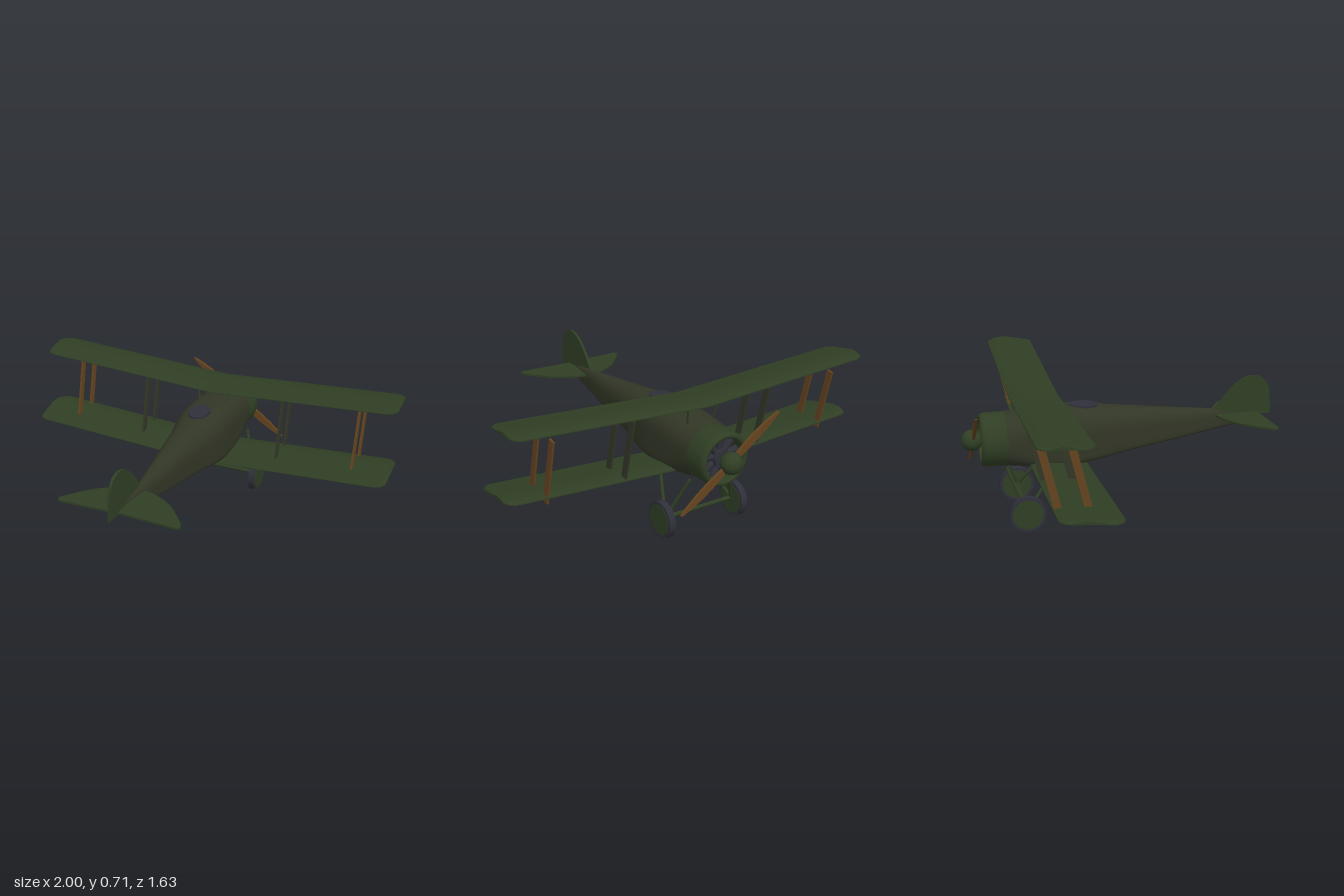
import * as THREE from 'three';
import { toCreasedNormals } from 'three/addons/utils/BufferGeometryUtils.js';

const paint = (name, color) => Object.assign(new THREE.MeshStandardMaterial({ color }), { name });
const V = (x, y, z) => new THREE.Vector3(x, y, z);

// Capped skin through a list of closed rings
function loft(rings, crease) {
  const n = rings[0].length, pos = [], idx = [];
  rings.forEach(r => r.forEach(p => pos.push(p.x, p.y, p.z)));
  for (let i = 0; i < rings.length - 1; i++)
    for (let j = 0; j < n; j++) {
      const a = i * n + j, b = i * n + (j + 1) % n;
      idx.push(a, b, a + n, b, b + n, a + n);
    }
  for (const end of [0, rings.length - 1]) {
    const c = rings[end].reduce((s, p) => s.add(p), V(0, 0, 0)).divideScalar(n);
    const k = pos.length / 3;
    pos.push(c.x, c.y, c.z);
    for (let j = 0; j < n; j++) {
      const a = end * n + j, b = end * n + (j + 1) % n;
      if (end) idx.push(k, a, b); else idx.push(k, b, a);
    }
  }
  const g = new THREE.BufferGeometry();
  g.setAttribute('position', new THREE.Float32BufferAttribute(pos, 3));
  g.setIndex(idx);
  return toCreasedNormals(g, crease);
}

// Wing with dihedral, cambered section and rounded tips
function wingGeometry(zFront, zRear, yRear, incidence) {
  const section = [[0, .007], [.08, .015], [.28, .02], [.6, .014], [1, .003],
    [1, 0], [.6, .003], [.28, .004], [.08, .001], [0, .002]];
  const r = 0.06, half = [0, 0.5, 0.94];
  for (let i = 1; i <= 6; i++) half.push(0.94 + r * Math.sin(i / 6 * Math.PI / 2));
  const xs = [...half.slice(1).reverse().map(x => -x), ...half];
  return loft(xs.map(x => {
    const d = Math.max(0, Math.abs(x) - 0.94);
    const inset = r - Math.sqrt(Math.max(0, r * r - d * d));
    return section.map(([u, h]) => V(x,
      yRear + incidence * (1 - u) + h + 0.058 * Math.abs(x),
      THREE.MathUtils.lerp(zFront + inset, zRear - inset, u)));
  }), 0.7);
}

function fuselageGeometry() {
  // z, half width, bottom, top, bottom squareness, top squareness
  const stations = [
    [-.597, .134, .29, .559, 2.2, 2.2], [-.5, .136, .29, .567, 4, 2.4], [-.4, .136, .29, .574, 8, 2.6],
    [-.27, .136, .292, .579, 9, 2.6], [-.2, .133, .299, .575, 9, 2.6], [-.11, .116, .31, .566, 9, 2.5],
    [-.03, .098, .321, .557, 8, 2.4], [.3, .056, .367, .523, 7, 2.3], [.56, .02, .403, .497, 5, 2.2],
    [.645, .007, .414, .488, 4, 2]];
  const n = 48;
  return loft(stations.map(([z, w, lo, hi, eb, et]) => {
    const mid = lo + (hi - lo) * 0.52;
    return Array.from({ length: n }, (_, j) => {
      const a = j / n * Math.PI * 2, c = Math.cos(a), s = Math.sin(a);
      const e = 2 / (s > 0 ? et : eb);
      const x = Math.sign(c) * Math.abs(c) ** e * w;
      const y = Math.sign(s) * Math.abs(s) ** e * (s > 0 ? hi - mid : mid - lo);
      return V(x, mid + y, z);
    });
  }), 0.7);
}

// Flat plate cut from a list of outline points
const plate = (shape, depth) => new THREE.ExtrudeGeometry(shape, { depth, bevelEnabled: false, curveSegments: 16 });

export function createModel() {
  const green = paint('wing green', 0x2f3e24);
  const olive = paint('fuselage olive', 0x323626);
  const wood = paint('brown wood', 0x64431f);
  const dark = paint('dark rubber and metal', 0x2e2f39);
  const model = new THREE.Group();
  model.name = 'biplane';

  const add = (name, geo, mat, x = 0, y = 0, z = 0, parent = model) => {
    const m = new THREE.Mesh(geo, mat);
    m.name = name;
    m.position.set(x, y, z);
    parent.add(m);
    return m;
  };
  // Bar between two points
  const bar = (name, a, b, geoFor, mat) => {
    const d = b.clone().sub(a), m = add(name, geoFor(d.length()), mat);
    m.position.copy(a).add(b).multiplyScalar(0.5);
    m.quaternion.setFromUnitVectors(V(0, 1, 0), d.normalize());
  };
  const rod = r => len => new THREE.CylinderGeometry(r, r, len, 10);
  const slat = len => new THREE.BoxGeometry(0.01, len, 0.036);

  // Body and cockpit
  add('fuselage', fuselageGeometry(), olive);
  const cockpit = add('cockpitOpening', new THREE.CylinderGeometry(1, 1, 0.03, 32), dark, 0, 0.564, -0.195);
  cockpit.scale.set(0.055, 1, 0.075);
  cockpit.rotation.x = 0.05;

  // Wings
  add('upperWing', wingGeometry(-0.573, -0.325, 0.632, 0.003), green);
  add('lowerWing', wingGeometry(-0.488, -0.195, 0.284, 0.016), green);

  // Struts and landing gear, mirrored
  for (const s of [-1, 1]) {
    for (const [x, mat, name] of [[0.8, wood, 'outerStrut'], [0.39, olive, 'innerStrut']])
      for (const z of [-0.322, -0.457])
        bar(name, V(s * x, 0.32, z), V(s * x, 0.647, z - 0.078), slat, mat);
    for (const z of [-0.37, -0.515])
      bar('cabaneStrut', V(s * 0.073, 0.55, z), V(s * 0.092, 0.645, z - 0.03), rod(0.005), green);

    const wheel = new THREE.Group();
    wheel.name = 'wheel';
    wheel.position.set(s * 0.214, 0.092, -0.52);
    wheel.rotation.z = Math.PI / 2;
    add('tyre', new THREE.CylinderGeometry(0.091, 0.091, 0.034, 40), dark, 0, 0, 0, wheel);
    add('wheelDisc', new THREE.CylinderGeometry(0.077, 0.077, 0.039, 40), green, 0, 0, 0, wheel);
    model.add(wheel);
    for (const z of [-0.607, -0.35])
      bar('gearLeg', V(s * 0.197, 0.095, -0.52), V(s * 0.118, 0.31, z), rod(0.009), green);
  }
  bar('axle', V(-0.2, 0.095, -0.52), V(0.2, 0.095, -0.52), rod(0.011), green);

  // Cowling with open front
  const profile = [[.13, .585], [.136, .595], [.136, .7], [.132, .715], [.122, .725], [.111, .724], [.105, .712], [.104, .6]];
  const cowl = new THREE.LatheGeometry(profile.map(p => new THREE.Vector2(...p)), 48);
  add('cowling', cowl.rotateX(-Math.PI / 2), green, 0, 0.424, 0);

  // Radial engine
  const engine = new THREE.Group();
  engine.name = 'engine';
  engine.position.set(0, 0.424, -0.66);
  model.add(engine);
  const disc = (r, h) => new THREE.CylinderGeometry(r, r, h, 32).rotateX(Math.PI / 2);
  add('firewall', disc(0.106, 0.01), dark, 0, 0, 0.055, engine);
  add('crankcase', disc(0.045, 0.09), dark, 0, 0, 0.005, engine);
  for (let i = 0; i < 9; i++) {
    const a = i / 9 * Math.PI * 2;
    const c = add('engineCylinder', new THREE.CylinderGeometry(0.02, 0.016, 0.06, 12), dark,
      -Math.sin(a) * 0.07, Math.cos(a) * 0.07, -0.01, engine);
    c.rotation.z = a;
  }

  // Propeller
  const prop = new THREE.Group();
  prop.name = 'propeller';
  prop.position.set(0, 0.425, -0.757);
  prop.rotation.z = -0.62;
  model.add(prop);
  const blade = new THREE.Shape();
  blade.moveTo(0, -0.01);
  blade.bezierCurveTo(0.12, -0.028, 0.24, -0.026, 0.337, -0.002);
  blade.lineTo(0.337, 0.002);
  blade.bezierCurveTo(0.24, 0.022, 0.12, 0.02, 0, 0.01);
  for (const a of [0, Math.PI])
    add('blade', plate(blade, 0.014).translate(0, 0, -0.007), wood, 0, 0, 0, prop).rotation.z = a;
  add('propellerShaft', disc(0.016, 0.09), dark, 0, 0, 0.04, prop);
  add('spinner', new THREE.SphereGeometry(0.054, 32, 20), green, 0, 0, -0.006, prop);

  // Tail surfaces
  const half = [[.1, .528], [.19, .583], [.25, .645], [.295, .7], [.312, .728]];
  const tail = new THREE.Shape();
  tail.moveTo(0, 0.738);
  tail.lineTo(-0.29, 0.75);
  tail.lineTo(-0.302, 0.75);
  tail.splineThru([...half.map(([x, z]) => [-x, z]).reverse(), [0, .505], ...half].map(p => new THREE.Vector2(...p)));
  tail.lineTo(0.302, 0.75);
  tail.lineTo(0.29, 0.75);
  add('tailplane', plate(tail, 0.01).rotateX(Math.PI / 2), green, 0, 0.475, 0);

  const fin = new THREE.Shape();
  fin.moveTo(0.5, 0.462);
  fin.lineTo(0.502, 0.495);
  fin.splineThru([[.565, .58], [.63, .642], [.7, .67], [.76, .658], [.797, .61], [.808, .53], [.811, .462]]
    .map(p => new THREE.Vector2(...p)));
  add('tailFin', plate(fin, 0.014).rotateY(-Math.PI / 2), green, 0.001, 0, 0);

  return model;
}
